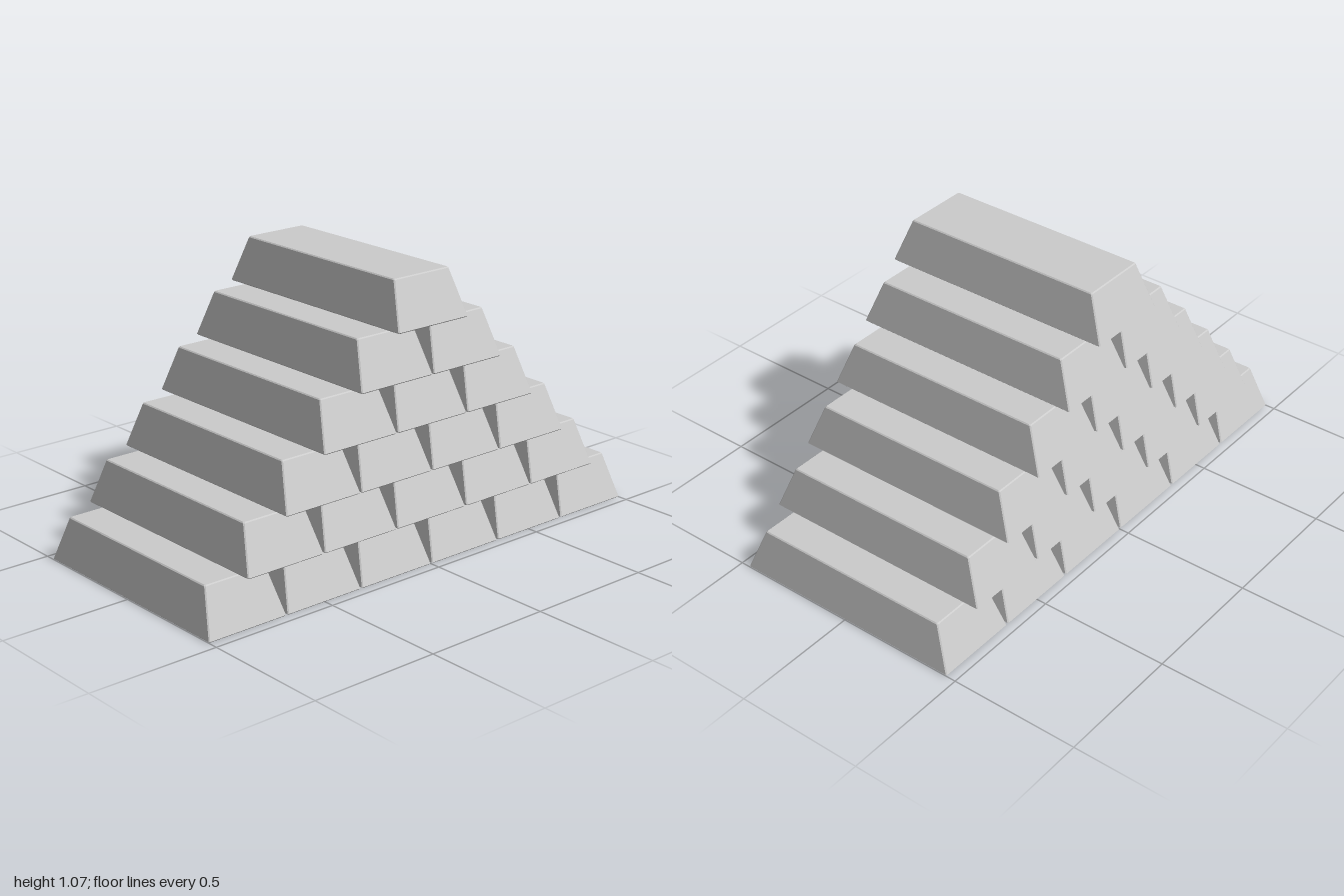
import * as THREE from 'three';
import { ConvexGeometry } from 'three/addons/geometries/ConvexGeometry.js';

const ROWS = 6;
const PITCH = 0.3346;      // spacing of bars in a row
const ROW_SHIFT = 0.1664;  // sideways step of each row
const ROW_HEIGHT = 0.1784;
const BAR_HEIGHT = 0.175;
const BEVEL = 0.004;

// Rectangle with cut corners at height y
function ring(halfX, halfZ, y) {
  const points = [];
  for (const sx of [-1, 1]) {
    for (const sz of [-1, 1]) {
      points.push(new THREE.Vector3(sx * (halfX - BEVEL), y, sz * halfZ));
      points.push(new THREE.Vector3(sx * halfX, y, sz * (halfZ - BEVEL)));
    }
  }
  return points;
}

// Tapered bar with finely bevelled edges
function barGeometry() {
  return new ConvexGeometry([
    ...ring(0.1595, 0.459, 0),
    ...ring(0.1635, 0.463, BEVEL),
    ...ring(0.129, 0.399, BAR_HEIGHT - BEVEL),
    ...ring(0.125, 0.395, BAR_HEIGHT),
  ]);
}

export function createModel() {
  const model = new THREE.Group();
  model.name = 'barStack';
  const geometry = barGeometry();
  const material = new THREE.MeshStandardMaterial({ color: 0xcccccc, flatShading: true });

  // Each row holds one bar fewer and straddles the gaps below
  for (let row = 0; row < ROWS; row++) {
    const rowGroup = new THREE.Group();
    rowGroup.name = `row${row + 1}`;
    rowGroup.position.y = row * ROW_HEIGHT;
    for (let i = 0; i < ROWS - row; i++) {
      const bar = new THREE.Mesh(geometry, material);
      bar.name = `bar${i + 1}`;
      bar.position.x = -1 + 0.1635 + row * ROW_SHIFT + i * PITCH;
      rowGroup.add(bar);
    }
    model.add(rowGroup);
  }
  return model;
}
